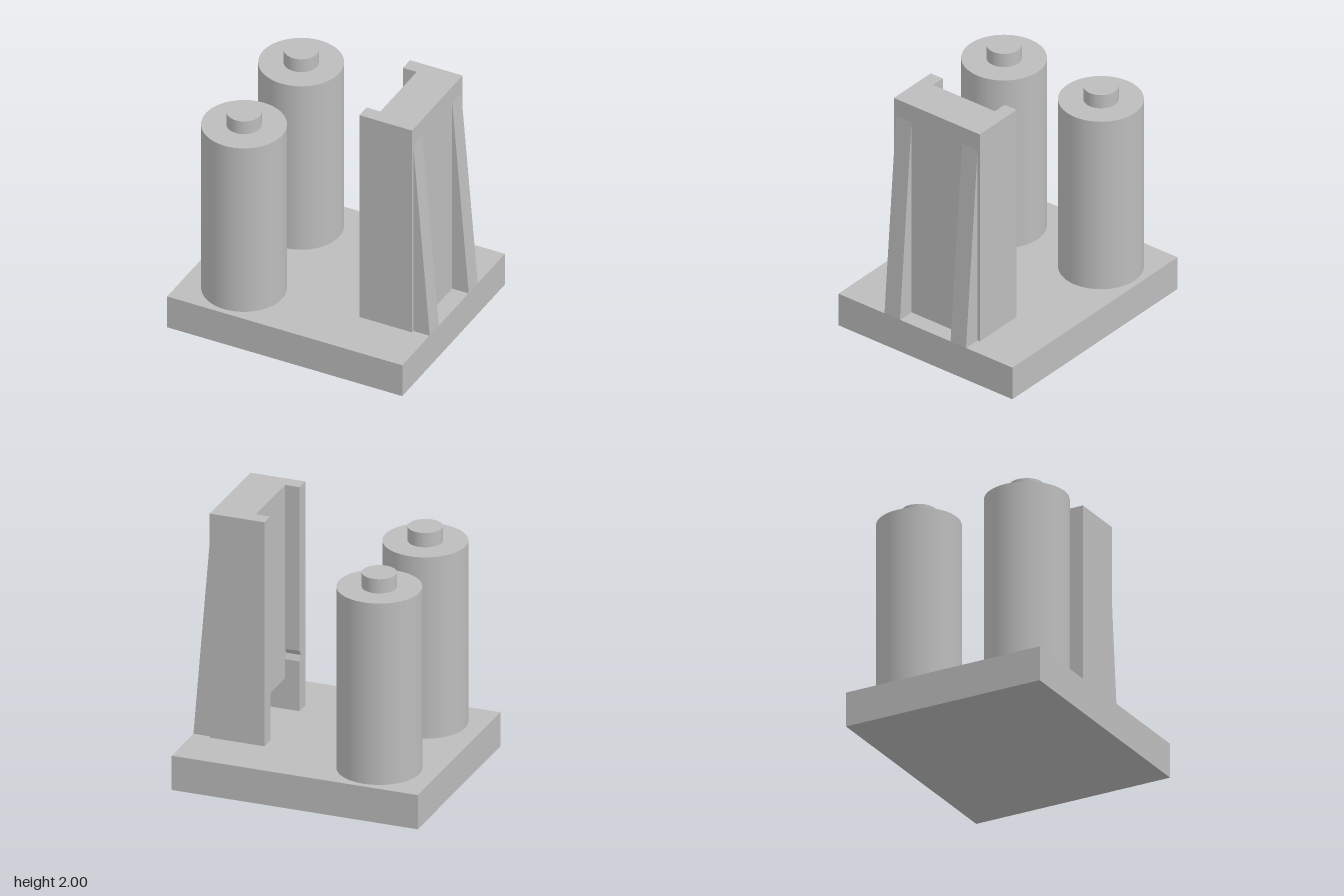
import * as THREE from 'three';

const grey = new THREE.MeshStandardMaterial({ color: 0xbcbcbc });
grey.name = 'plain grey';

const FLOOR = 0.265; // top of the base plate
const TOP = 2;       // top of the tower

export function createModel() {
  const model = new THREE.Group();
  model.name = 'channelStand';

  const add = (name, geometry, x = 0, y = 0, z = 0) => {
    const mesh = new THREE.Mesh(geometry, grey);
    mesh.name = name;
    mesh.position.set(x, y, z);
    model.add(mesh);
  };
  const extrude = (points, depth) => new THREE.ExtrudeGeometry(
    new THREE.Shape(points.map(([u, v]) => new THREE.Vector2(u, v))),
    { depth, bevelEnabled: false });

  // Base plate
  add('basePlate', new THREE.BoxGeometry(1.88, FLOOR, 1.58), 0, FLOOR / 2, 0);

  // Back wall of the channel, with a deep pocket at its foot
  add('channelWall', extrude([
    [0.73, FLOOR], [0.81, FLOOR], [0.81, TOP], [0.5, TOP], [0.5, 0.505], [0.73, 0.505],
  ], 0.56), 0, 0, -0.28);

  for (const s of [-1, 1]) {
    const side = s > 0 ? 'left' : 'right';

    // Post with a short stud on top
    add(side + 'Post', new THREE.CylinderGeometry(0.305, 0.305, 1.67 - FLOOR, 64),
      -0.507, (1.67 + FLOOR) / 2, s * 0.44);
    add(side + 'Stud', new THREE.CylinderGeometry(0.126, 0.126, 0.11, 48),
      -0.507, 1.725, s * 0.44);

    // Solid cheek beside the wall
    add(side + 'Cheek', new THREE.BoxGeometry(0.31, TOP - FLOOR, 0.11),
      0.655, (TOP + FLOOR) / 2, s * 0.335);

    // Front lip with a small V notch on its inner face
    const lip = extrude([
      [0.28, FLOOR], [0.39, FLOOR], [0.39, TOP], [0.28, TOP],
      [0.28, 0.73], [0.306, 0.69], [0.28, 0.65],
    ].map(([z, y]) => [-s * z, y]), 0.11);
    lip.rotateY(Math.PI / 2);
    add(side + 'Lip', lip, 0.39, 0, 0);

    // Tapered rib bracing the outside of the wall
    add(side + 'Rib', extrude([[0.81, FLOOR], [0.942, FLOOR], [0.81, 1.86]], 0.14),
      0, 0, s * 0.3 - 0.07);
  }
  return model;
}
